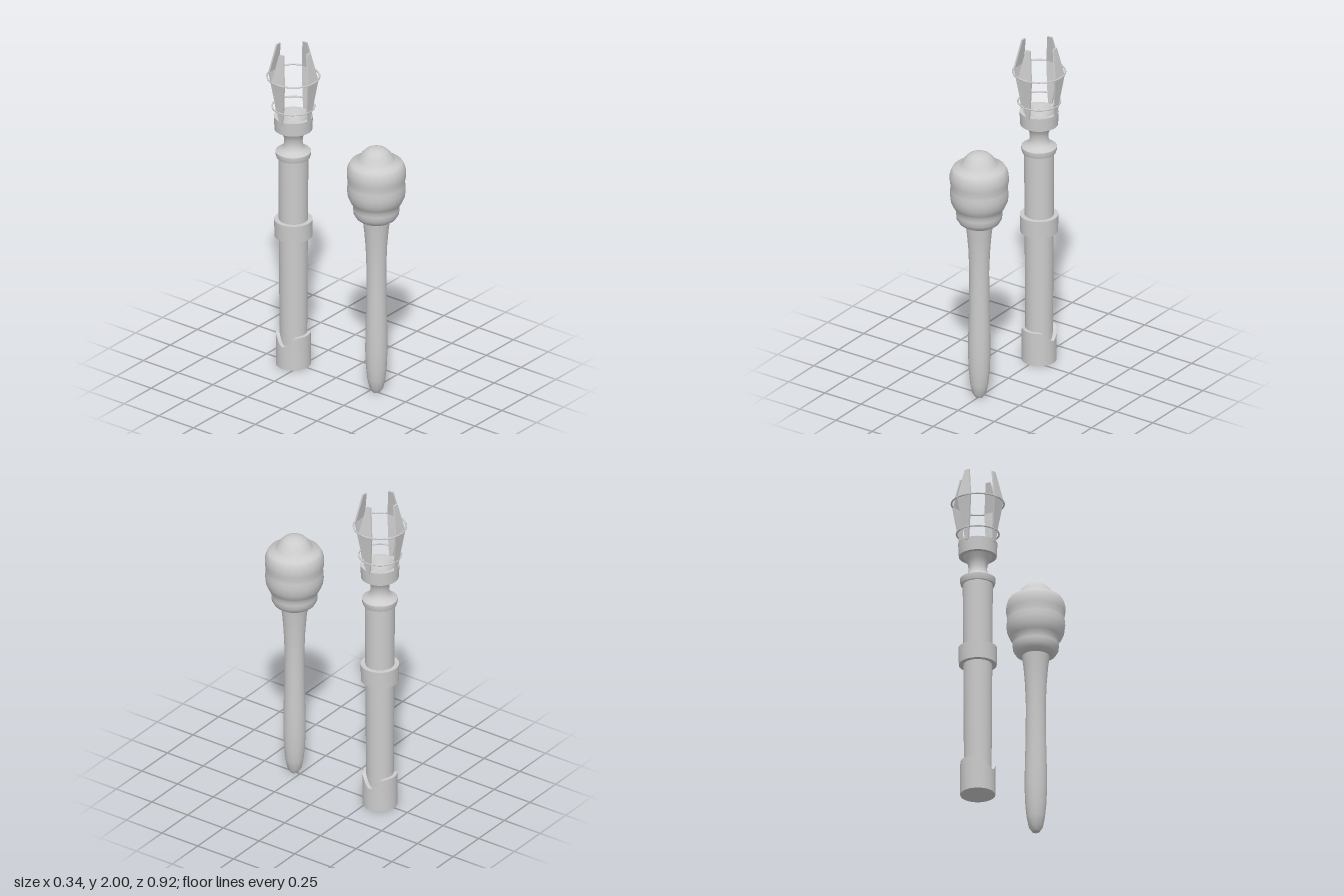
import * as THREE from 'three';
import { toCreasedNormals } from 'three/addons/utils/BufferGeometryUtils.js';

const material = new THREE.MeshStandardMaterial({ color: 0xcccccc });

function addMesh(parent, name, geometry, crease = 0.6) {
  const mesh = new THREE.Mesh(toCreasedNormals(geometry, crease), material);
  mesh.name = name;
  parent.add(mesh);
  return mesh;
}

// Profile points are [radius, height], from bottom to top
function lathe(profile, sides = 32) {
  return new THREE.LatheGeometry(profile.map(([r, y]) => new THREE.Vector2(r, y)), sides);
}

// Four-sided loft through sections of [height, radius from axis, half width]
function bladeGeometry(sections, thickness) {
  const positions = [], index = [];
  for (const [y, r, w] of sections) {
    positions.push(-w, y, r, w, y, r, w, y, r - thickness, -w, y, r - thickness);
  }
  for (let s = 0; s < sections.length - 1; s++) {
    for (let i = 0; i < 4; i++) {
      const a = s * 4 + i, b = s * 4 + (i + 1) % 4;
      index.push(a, b, b + 4, a, b + 4, a + 4);
    }
  }
  const t = (sections.length - 1) * 4;
  index.push(0, 2, 1, 0, 3, 2, t, t + 1, t + 2, t, t + 2, t + 3);
  const geometry = new THREE.BufferGeometry();
  geometry.setAttribute('position', new THREE.Float32BufferAttribute(positions, 3));
  geometry.setIndex(index);
  return geometry;
}

function createClub() {
  const club = new THREE.Group();
  club.name = 'club';
  // Slim rounded handle, flaring under the head
  addMesh(club, 'clubHandle', lathe([
    [0, 0], [0.022, 0.002], [0.04, 0.03], [0.052, 0.09], [0.06, 0.17], [0.064, 0.27],
    [0.063, 0.4], [0.058, 0.6], [0.057, 0.8], [0.062, 0.93], [0.07, 1.03], [0.08, 1.11],
  ], 24), 0.9);
  // Bulging head with a lower lip, waist and domed cap
  addMesh(club, 'clubHead', lathe([
    [0, 1.1], [0.092, 1.1], [0.115, 1.115], [0.13, 1.14], [0.133, 1.17], [0.132, 1.195],
    [0.148, 1.215], [0.163, 1.25], [0.168, 1.29], [0.165, 1.325], [0.163, 1.345],
    [0.169, 1.375], [0.169, 1.41], [0.161, 1.44], [0.149, 1.46], [0.118, 1.468],
    [0.1, 1.487], [0.085, 1.515], [0.062, 1.538], [0.032, 1.55], [0, 1.552],
  ], 24), 0.85);
  return club;
}

function createStaff() {
  const staff = new THREE.Group();
  staff.name = 'staff';

  // Foot sleeve whose rim dips on the left and right sides
  const sleeve = lathe([[0, 0], [0.1, 0], [0.1, 1], [0.07, 1]], 48);
  const p = sleeve.attributes.position;
  for (let i = 0; i < p.count; i++) {
    if (p.getY(i) < 0.5) continue;
    const across = Math.abs(p.getZ(i)) / Math.hypot(p.getX(i), p.getZ(i));
    const s = Math.sin(Math.min(1, across / 0.85) * Math.PI / 2);
    p.setY(i, 0.138 + 0.066 * s * s);
  }
  addMesh(staff, 'footSleeve', sleeve);

  addMesh(staff, 'shaft', lathe([[0, 0.05], [0.078, 0.05], [0.086, 1.33], [0, 1.33]]));
  addMesh(staff, 'gripBand', lathe([
    [0.08, 0.815], [0.108, 0.815], [0.11, 0.92], [0.08, 0.92],
  ]));
  // Flange and waisted neck
  addMesh(staff, 'neck', lathe([
    [0.08, 1.315], [0.096, 1.315], [0.102, 1.335], [0.102, 1.352], [0.072, 1.368],
    [0.058, 1.385], [0.053, 1.41], [0.055, 1.44], [0.066, 1.465], [0.086, 1.495],
  ]));
  // Cup with a tapered hollow
  addMesh(staff, 'cup', lathe([
    [0, 1.493], [0.108, 1.493], [0.112, 1.575], [0.091, 1.575], [0.055, 1.51], [0, 1.51],
  ]));

  // Hoops tying the prongs together
  for (const [y, r] of [[1.635, 0.121], [1.825, 0.15]]) {
    const hoop = addMesh(staff, 'hoop', new THREE.TorusGeometry(r, 0.005, 8, 32), 1);
    hoop.rotation.x = Math.PI / 2;
    hoop.position.y = y;
  }

  // Four bent diamond-shaped prongs
  const blade = bladeGeometry([
    [1.56, 0.116, 0.01], [1.64, 0.122, 0.021], [1.825, 0.146, 0.045], [2, 0.113, 0.015],
  ], 0.01);
  for (let i = 0; i < 4; i++) {
    addMesh(staff, 'prong', blade, 0.1).rotation.y = i * Math.PI / 2;
  }
  return staff;
}

export function createModel() {
  const model = new THREE.Group();
  model.name = 'clubAndStaff';
  const club = createClub();
  club.position.z = 0.29;
  const staff = createStaff();
  staff.position.z = -0.308;
  model.add(club, staff);
  return model;
}
